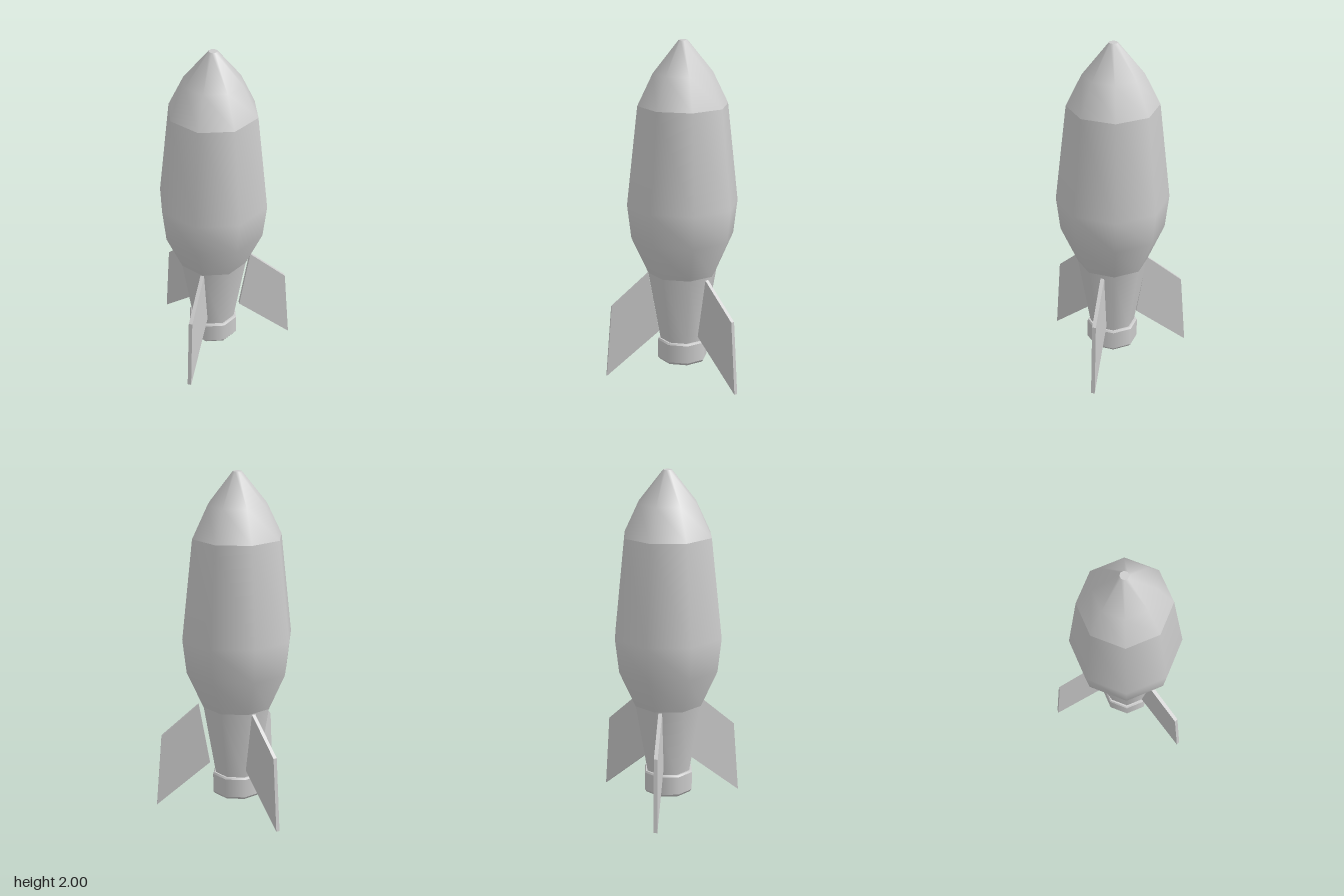
import * as THREE from 'three';

const SIDES = 8;

export function createModel() {
  const model = new THREE.Group();
  model.name = 'rocket';
  const material = new THREE.MeshStandardMaterial({ color: 0xcccccc });

  // Eight-sided shell about the rocket's axis; profile is [radius, y] pairs
  const hull = new THREE.Group();
  hull.name = 'hull';
  hull.position.set(-0.018, 0, -0.066);
  model.add(hull);
  const addRing = (name, profile, parent = hull) => {
    const points = profile.map(([r, y]) => new THREE.Vector2(r, y));
    const mesh = new THREE.Mesh(new THREE.LatheGeometry(points, SIDES), material);
    mesh.name = name;
    parent.add(mesh);
  };

  // Separate bands keep the seams crisp while each band stays smooth
  addRing('noseCone', [[0.265, 1.63], [0.175, 1.815], [0.026, 2]]);
  addRing('noseTip', [[0.026, 2], [0, 2]]);
  addRing('body', [[0.205, 0.63], [0.305, 0.85], [0.329, 1.05], [0.265, 1.63]]);
  addRing('tail', [[0.13, 0.2], [0.205, 0.63]]);

  // Hollow exhaust nozzle with bevelled rims
  const nozzle = new THREE.Group();
  nozzle.name = 'nozzle';
  hull.add(nozzle);
  const rim = [
    [0, 0.19], [0.108, 0.19], [0.112, 0.083], [0.138, 0.083], [0.15, 0.098],
    [0.15, 0.207], [0.143, 0.217], [0.12, 0.217],
  ];
  const bands = ['nozzleCeiling', 'nozzleInside', 'nozzleLip', 'nozzleLowerBevel',
    'nozzleWall', 'nozzleUpperBevel', 'nozzleTop'];
  bands.forEach((name, i) => addRing(name, [rim[i], rim[i + 1]], nozzle));

  // Three swept fins, 120 degrees apart
  const fins = new THREE.Group();
  fins.name = 'fins';
  fins.position.set(-0.0065, 0, -0.072);
  model.add(fins);
  const outline = [[0.149, 0.265], [0.468, 0], [0.434, 0.434], [0.213, 0.63]];
  const shape = new THREE.Shape(outline.map(([r, y]) => new THREE.Vector2(r, y)));
  const finGeometry = new THREE.ExtrudeGeometry(shape, { depth: 0.022, bevelEnabled: false });
  finGeometry.rotateY(-Math.PI / 2);
  ['frontFin', 'leftFin', 'rightFin'].forEach((name, i) => {
    const fin = new THREE.Mesh(finGeometry, material);
    fin.name = name;
    fin.rotation.y = (i * Math.PI * 2) / 3;
    fins.add(fin);
  });

  return model;
}
